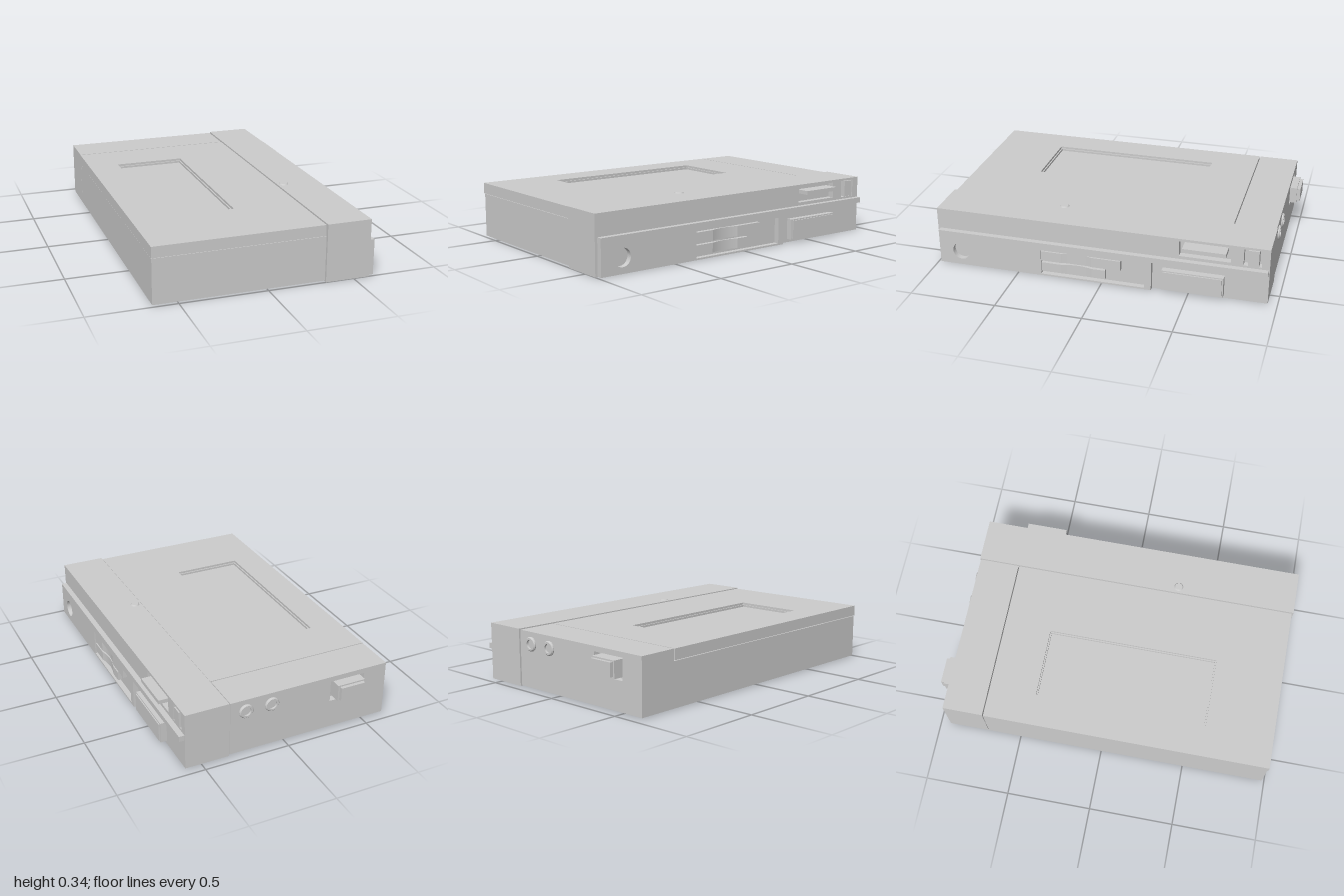
import * as THREE from 'three';

const material = new THREE.MeshStandardMaterial({ color: 0xcccccc, flatShading: false });

export function createModel() {
  const group = new THREE.Group();

  function add(name, geometry) {
    const mesh = new THREE.Mesh(geometry, material);
    mesh.name = name;
    group.add(mesh);
    return mesh;
  }
  // Box given by its limits on each axis
  function box(name, x0, x1, y0, y1, z0, z1) {
    const g = new THREE.BoxGeometry(x1 - x0, y1 - y0, z1 - z0);
    g.translate((x0 + x1) / 2, (y0 + y1) / 2, (z0 + z1) / 2);
    return add(name, g);
  }
  function rect(u0, u1, v0, v1, Kind = THREE.Shape) {
    const s = new Kind();
    s.moveTo(u0, v0);
    s.lineTo(u1, v0);
    s.lineTo(u1, v1);
    s.lineTo(u0, v1);
    s.closePath();
    return s;
  }
  const hole = (...limits) => rect(...limits, THREE.Path);
  const extrude = (shape, depth) => new THREE.ExtrudeGeometry(shape, { depth, bevelEnabled: false, curveSegments: 24 });

  // Panel drawn in (-z, y) and pushed out along +x
  function sidePanel(name, shape, x0, x1) {
    return add(name, extrude(shape, x1 - x0).rotateY(Math.PI / 2).translate(x0, 0, 0));
  }
  // Panel drawn in (x, -z) and raised along +y
  function topPanel(name, shape, y0, y1) {
    return add(name, extrude(shape, y1 - y0).rotateX(-Math.PI / 2).translate(0, y0, 0));
  }

  // Main case and fixed rear block
  box('caseBase', -0.64, 0.335, 0.005, 0.263, -0.7, 0.985);
  box('rearBlock', -0.64, 0.328, 0.005, 0.33, -0.9, -0.703);
  const rear = rect(-0.64, 0.328, 0.005, 0.33);
  rear.holes.push(hole(-0.5, -0.285, 0.175, 0.3));
  add('rearPanel', extrude(rear, 0.04).translate(0, 0, -0.94));
  box('rearFill', 0.328, 0.335, 0.005, 0.32, -0.935, -0.7);

  // Lid with sunken window and narrow chamfer around it
  const lid = rect(-0.642, 0.33, -0.99, 0.697);
  lid.holes.push(hole(-0.46, -0.05, -0.59, 0.42));
  topPanel('lid', lid, 0.267, 0.33);
  box('window', -0.46, -0.05, 0.28, 0.305, -0.42, 0.59);
  const rim = rect(-0.46, -0.05, -0.59, 0.42);
  rim.holes.push(hole(-0.452, -0.058, -0.582, 0.412));
  topPanel('windowRim', rim, 0.305, 0.317);

  // Control section with pockets in its outer side
  box('controlCore', 0.335, 0.555, 0, 0.335, -0.945, 1);
  const side = rect(-1, 0.945, 0, 0.335);
  side.holes.push(hole(0.44, 0.73, 0.228, 0.32), hole(0.8, 0.9, 0.222, 0.322));
  sidePanel('controlSide', side, 0.555, 0.593);
  box('switchSlider', 0.55, 0.64, 0.278, 0.301, -0.71, -0.465);
  box('sideLatch', 0.55, 0.6, 0.225, 0.32, -0.885, -0.825);

  // Stepped side strip with round opening and key pocket
  const strip = new THREE.Shape();
  [[-0.985, 0.002], [0.29, 0.002], [0.29, 0.178], [0.94, 0.178], [0.94, 0.21], [-0.985, 0.21]]
    .forEach(([u, v], i) => (i ? strip.lineTo(u, v) : strip.moveTo(u, v)));
  strip.closePath();
  const opening = new THREE.Path();
  opening.absarc(-0.85, 0.09, 0.052, 0, Math.PI * 2, true);
  strip.holes.push(opening, hole(-0.36, 0.25, 0.012, 0.165));
  sidePanel('sideStrip', strip, 0.593, 0.625);

  // Sliding keys with a scooped finger grip
  [[0.095, 0.155, -0.11], [0.027, 0.083, -0.02]].forEach(([y0, y1, zEnd], i) => {
    const s = new THREE.Shape();
    s.moveTo(0.59, 0.36 * -1);
    s.lineTo(0.618, -0.36);
    s.lineTo(0.618, -0.24);
    s.quadraticCurveTo(0.59, -0.15, 0.618, -0.06);
    s.lineTo(0.618, -zEnd);
    s.lineTo(0.59, -zEnd);
    s.closePath();
    topPanel('slideKey' + (i + 1), s, y0, y1);
  });

  // Large side button with stepped face
  box('sideButton', 0.59, 0.63, 0.02, 0.142, -0.7, -0.35);
  box('sideButtonFace', 0.63, 0.637, 0.028, 0.135, -0.692, -0.358);

  // Indicator on top
  const lamp = add('indicator', new THREE.CylinderGeometry(0.022, 0.028, 0.008, 24));
  lamp.position.set(0.375, 0.338, 0.29);

  // Rear sockets: ring with a recessed middle
  [0.08, 0.235].forEach((x, i) => {
    const profile = [[0, -0.01], [0.026, -0.01], [0.026, 0.012], [0.036, 0.012], [0.042, 0.006], [0.042, -0.01]]
      .map(([r, h]) => new THREE.Vector2(r, h));
    const g = new THREE.LatheGeometry(profile.reverse(), 28).toNonIndexed();
    g.computeVertexNormals();
    const socket = add('socket' + (i + 1), g);
    socket.material = material.clone();
    socket.material.side = THREE.DoubleSide;
    socket.rotation.x = -Math.PI / 2;
    socket.position.set(x, 0.26, -0.94);
  });

  // Rear plug block in its pocket
  box('plugBase', -0.48, -0.31, 0.19, 0.288, -0.98, -0.895);
  box('plugTip', -0.47, -0.32, 0.2, 0.28, -1, -0.98);

  return group;
}
